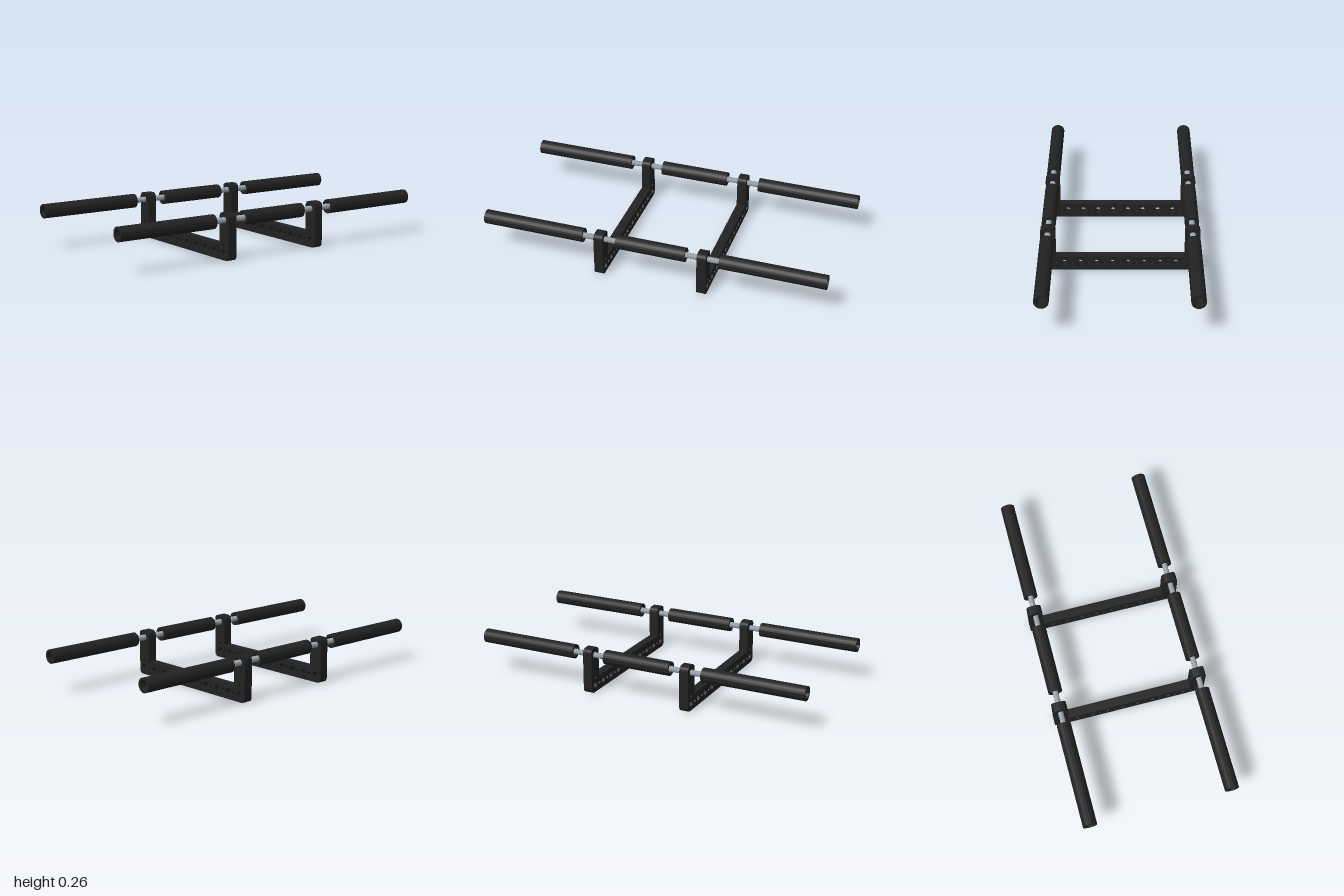
import * as THREE from 'three';
import { toCreasedNormals } from 'three/addons/utils/BufferGeometryUtils.js';

const RAIL_Z = 0.406, RAIL_Y = 0.224, BRACKET_X = 0.302;
const black = new THREE.MeshStandardMaterial({ name: 'black', color: 0x222222 });
const steel = new THREE.MeshStandardMaterial({ name: 'steel', color: 0x98a3ab });

// Extrude a shape along x, centred on x = 0
function extrudeX(shape, length, curveSegments) {
  const geo = new THREE.ExtrudeGeometry(shape, { depth: length, bevelEnabled: false, curveSegments });
  geo.translate(0, 0, -length / 2).rotateY(Math.PI / 2);
  return toCreasedNormals(geo, Math.PI / 6);
}

function addHole(shape, x, y, r) {
  shape.holes.push(new THREE.Path().absarc(x, y, r, 0, Math.PI * 2, true));
}

// U-shaped bracket outline with rounded outer corners and a row of holes
function bracketGeometry() {
  const w = 0.448, inner = 0.364, bar = 0.084, top = 0.265, r = 0.026, P = Math.PI;
  const s = new THREE.Shape();
  s.moveTo(-w + r, 0);
  s.lineTo(w - r, 0);
  s.absarc(w - r, r, r, -P / 2, 0, false);
  s.absarc(w - r, top - r, r, 0, P / 2, false);
  s.absarc(inner + r, top - r, r, P / 2, P, false);
  s.lineTo(inner, bar);
  s.lineTo(-inner, bar);
  s.absarc(-inner - r, top - r, r, 0, P / 2, false);
  s.absarc(-w + r, top - r, r, P / 2, P, false);
  s.absarc(-w + r, r, r, P, 1.5 * P, false);

  // Alternating large and small holes along the bar
  for (let i = 0; i < 19; i++) {
    addHole(s, -RAIL_Z + (i * 2 * RAIL_Z) / 18, 0.042, i % 2 ? 0.0105 : 0.0195);
  }
  // Small hole and rod hole in each arm
  for (const side of [-1, 1]) {
    addHole(s, side * RAIL_Z, 0.087, 0.0105);
    addHole(s, side * RAIL_Z, RAIL_Y, 0.0195);
  }
  return extrudeX(s, 0.053, 12);
}

// Hollow grip tube
function tubeGeometry(length) {
  const s = new THREE.Shape().absarc(0, 0, 0.0405, 0, Math.PI * 2, false);
  addHole(s, 0, 0, 0.027);
  return extrudeX(s, length, 32);
}

// Threaded rod: a cylinder whose radius follows a helical triangle wave
function rodGeometry(length) {
  const pitch = 0.015, core = 0.0135, depth = 0.004;
  const geo = new THREE.CylinderGeometry(1, 1, length, 20, Math.round((length / pitch) * 6));
  const p = geo.attributes.position;
  for (let i = 0; i < p.count; i++) {
    const x = p.getX(i), y = p.getY(i), z = p.getZ(i);
    if (Math.hypot(x, z) < 0.5) continue;
    const turn = y / pitch + Math.atan2(z, x) / (Math.PI * 2);
    const wave = Math.abs(2 * (turn - Math.floor(turn)) - 1);
    const r = core + depth * wave;
    p.setXYZ(i, x * r, y, z * r);
  }
  geo.rotateZ(Math.PI / 2);
  return toCreasedNormals(geo, Math.PI / 6);
}

export function createModel() {
  const model = new THREE.Group();
  model.name = 'railFrame';
  const add = (name, geo, mat, x, y, z) => {
    const mesh = new THREE.Mesh(geo, mat);
    mesh.name = name;
    mesh.position.set(x, y, z);
    model.add(mesh);
  };

  // Two matching brackets
  const bracket = bracketGeometry();
  add('leftBracket', bracket, black, BRACKET_X, 0, 0);
  add('rightBracket', bracket, black, -BRACKET_X, 0, 0);

  // Front and back rails: a threaded rod carrying three tubes
  const rod = rodGeometry(0.9), outer = tubeGeometry(0.6), middle = tubeGeometry(0.406);
  for (const [label, z] of [['front', RAIL_Z], ['back', -RAIL_Z]]) {
    add(label + 'ThreadedRod', rod, steel, 0, RAIL_Y, z);
    add(label + 'MiddleTube', middle, black, 0, RAIL_Y, z);
    add(label + 'LeftTube', outer, black, 0.7, RAIL_Y, z);
    add(label + 'RightTube', outer, black, -0.7, RAIL_Y, z);
  }
  return model;
}
